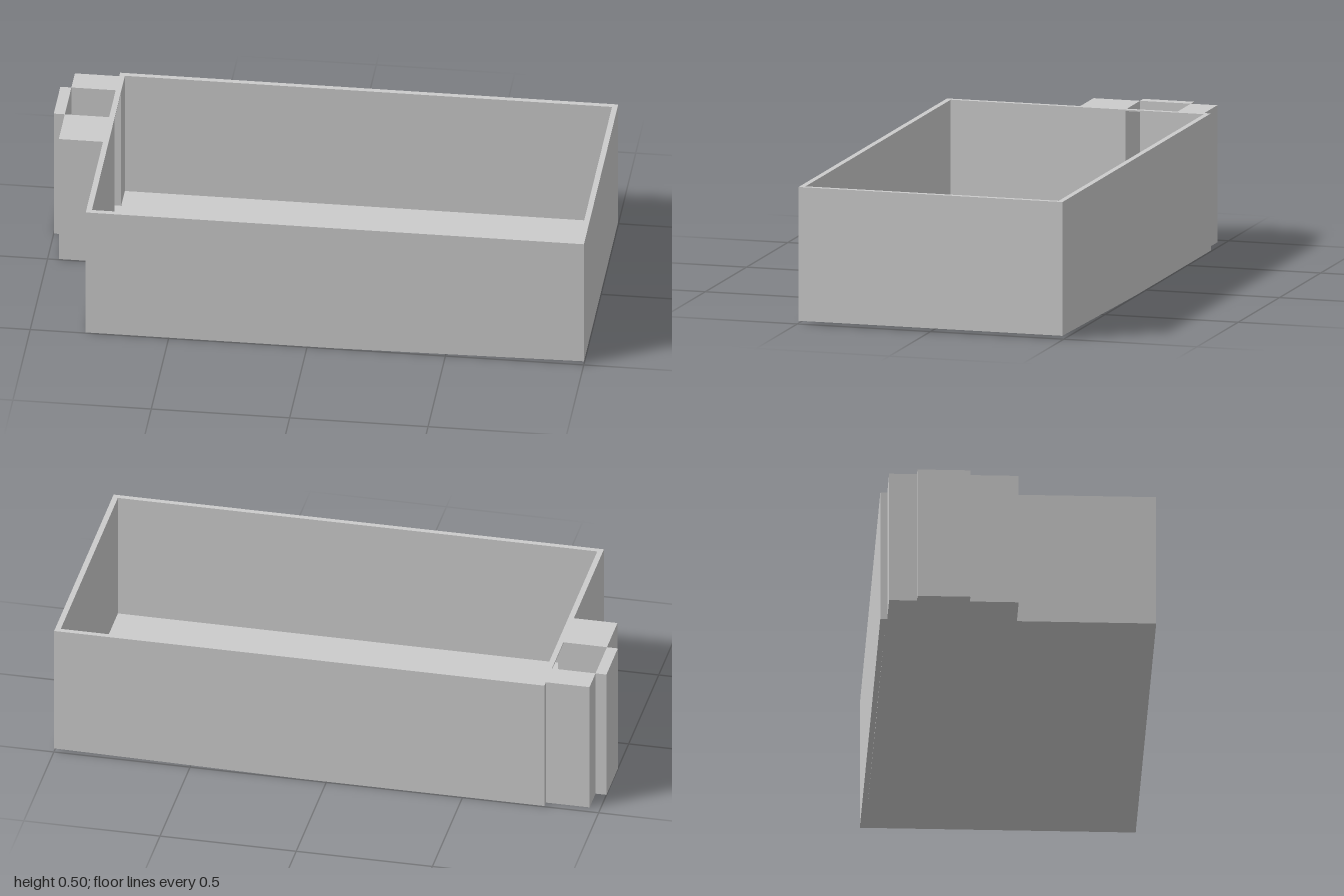
import * as THREE from 'three';

const HEIGHT = 0.5, FLOOR = 0.02, KINK = 0.1, RISE = 0.012;

// Footprint points are [x, z]
const toPath = (pts, Type) => new Type(pts.map(([x, z]) => new THREE.Vector2(x, -z)));

// Extrude a footprint upwards; the underside rises gently towards +x
function slab(name, outline, height, hole) {
  const shape = toPath(outline, THREE.Shape);
  if (hole) shape.holes.push(toPath(hole, THREE.Path));
  const geo = new THREE.ExtrudeGeometry(shape, { depth: height, bevelEnabled: false });
  geo.rotateX(-Math.PI / 2);
  const pos = geo.attributes.position;
  for (let i = 0; i < pos.count; i++) {
    const lift = RISE * Math.max(0, (pos.getX(i) - KINK) / (1 - KINK));
    if (pos.getY(i) < 0.001) pos.setY(i, lift);
  }
  geo.computeVertexNormals();
  const mesh = new THREE.Mesh(geo, new THREE.MeshStandardMaterial({ color: 0xcccccc, flatShading: true }));
  mesh.name = name;
  return mesh;
}

export function createModel() {
  const group = new THREE.Group();
  group.name = 'basin';

  // Inner basin joined to the side channel by a full-height opening
  const inside = [
    [-0.78, 0.475], [KINK, 0.475], [0.98, 0.475], [0.98, -0.475], [KINK, -0.475], [-0.78, -0.475],
    [-0.78, -0.37], [-0.96, -0.37], [-0.96, -0.18], [-0.78, -0.18],
  ];
  // Outer walls with the stepped side housing
  const outside = [
    [-0.8, 0.495], [KINK, 0.495], [1, 0.495], [1, -0.495], [KINK, -0.495], [-0.8, -0.495],
    [-0.8, -0.47], [-0.96, -0.47], [-0.96, -0.37], [-1, -0.37],
    [-1, -0.18], [-0.96, -0.18], [-0.96, -0.005], [-0.8, -0.005],
  ];
  group.add(slab('wallsAndSideHousing', outside, HEIGHT, inside));
  group.add(slab('floor', inside, FLOOR));

  // Thin rim bridging the channel opening
  const rim = new THREE.Mesh(
    new THREE.BoxGeometry(0.02, 0.005, 0.19),
    new THREE.MeshStandardMaterial({ color: 0xcccccc, flatShading: true })
  );
  rim.name = 'openingRim';
  rim.position.set(-0.79, HEIGHT - 0.0025, -0.275);
  group.add(rim);

  return group;
}
